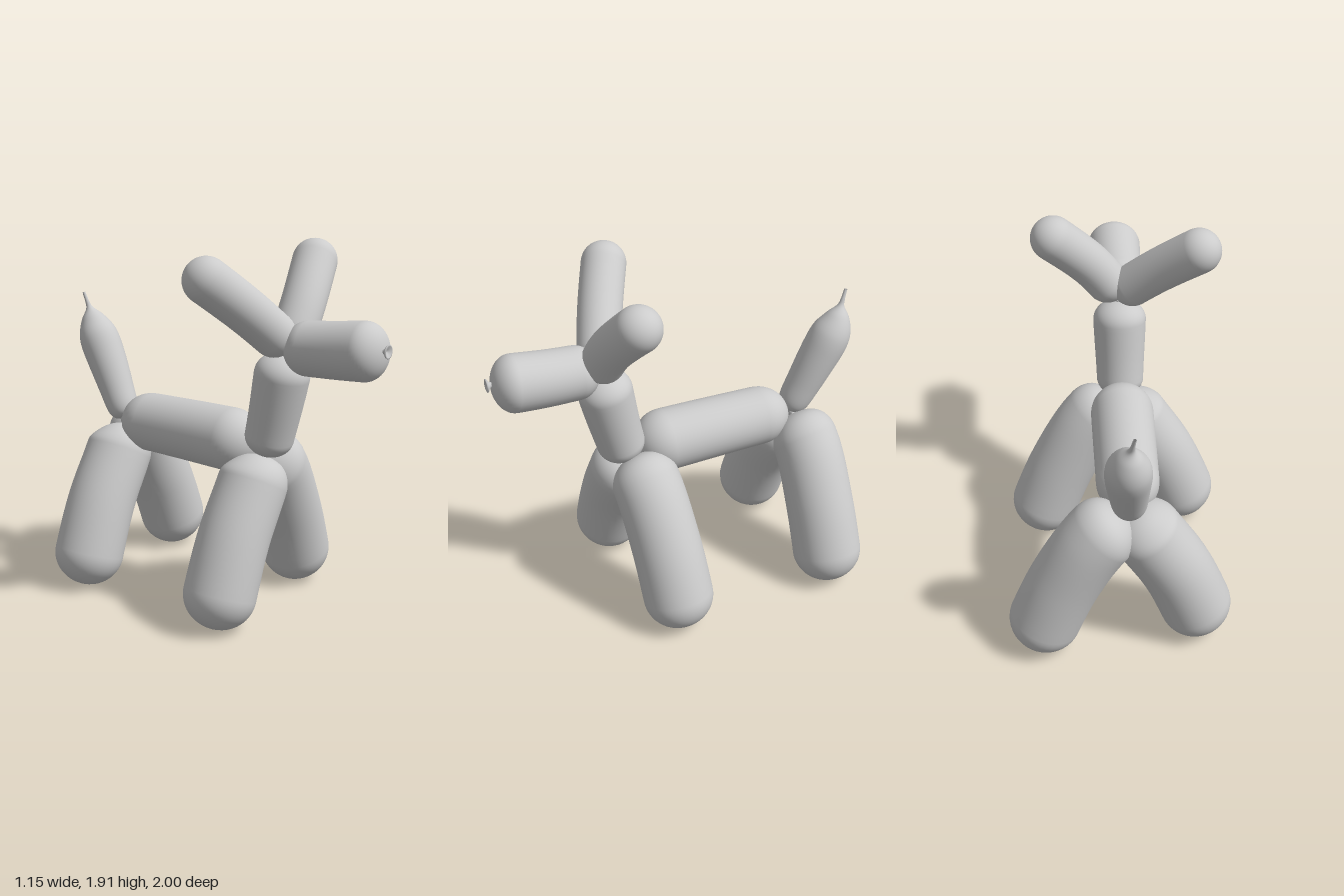
import * as THREE from 'three';
import { mergeVertices } from 'three/addons/utils/BufferGeometryUtils.js';

const material = new THREE.MeshStandardMaterial({ color: 0xcccccc, side: THREE.DoubleSide });
const UP = new THREE.Vector3(0, 1, 0);
const V = (p) => new THREE.Vector3(...p);

// Lathe a profile of (radius, distance) and bend it along a smooth path
function sweep(name, path, profile) {
  const curve = new THREE.CatmullRomCurve3(path.map(V), false, 'centripetal');
  const length = curve.getLength();
  const lathe = new THREE.LatheGeometry(profile(length).map(([r, s]) => new THREE.Vector2(r, s)), 40);
  lathe.deleteAttribute('uv');
  lathe.deleteAttribute('normal');
  const pos = lathe.attributes.position;
  const q = new THREE.Quaternion();
  for (let i = 0; i < pos.count; i++) {
    const u = THREE.MathUtils.clamp(pos.getY(i) / length, 0, 1);
    q.setFromUnitVectors(UP, curve.getTangentAt(u));
    const v = new THREE.Vector3(pos.getX(i), 0, pos.getZ(i)).applyQuaternion(q).add(curve.getPointAt(u));
    pos.setXYZ(i, v.x, v.y, v.z);
  }
  const geometry = mergeVertices(lathe, 1e-5);
  geometry.computeVertexNormals();
  const mesh = new THREE.Mesh(geometry, material);
  mesh.name = name;
  return mesh;
}

// Inflated segment: round caps at both ends, radius rA blending to rB
function balloon(name, path, rA, rB, capA = 1, capB = 1) {
  return sweep(name, path, (length) => {
    const a = rA * capA, b = rB * capB, n = 14, points = [];
    const radius = (s) => THREE.MathUtils.lerp(rA, rB, THREE.MathUtils.smoothstep(s / length, 0, 1));
    for (let i = 0; i <= n; i++) {
      const t = (i / n) * Math.PI / 2, s = a * (1 - Math.cos(t));
      points.push([radius(s) * Math.sin(t), s]);
    }
    for (let i = 1; i < 12; i++) {
      const s = a + (length - a - b) * i / 12;
      points.push([radius(s), s]);
    }
    for (let i = n; i >= 0; i--) {
      const t = (i / n) * Math.PI / 2, s = length - b * (1 - Math.cos(t));
      points.push([radius(s) * Math.sin(t), s]);
    }
    return points;
  });
}

// Twisted knot between segments
function knot(name, center) {
  const group = new THREE.Group();
  group.name = name;
  for (let i = 0; i < 3; i++) {
    const ring = new THREE.Mesh(new THREE.TorusGeometry(0.025, 0.014, 8, 16), material);
    ring.rotation.set(i * 1.05, i * 0.7, 0);
    group.add(ring);
  }
  group.position.set(...center);
  return group;
}

export function createModel() {
  const model = new THREE.Group();

  // Body, neck and head
  model.add(
    balloon('body', [[-0.05, 0.89, 0.24], [-0.05, 0.89, -0.2], [-0.05, 0.885, -0.65]], 0.168, 0.158, 1, 1.1),
    balloon('neck', [[-0.05, 0.85, 0.30], [-0.05, 1.1, 0.36], [-0.05, 1.39, 0.42]], 0.125, 0.143, 0.8, 0.8),
    balloon('head', [[-0.05, 1.425, 0.43], [-0.04, 1.443, 0.7], [-0.04, 1.47, 0.975]], 0.135, 0.146, 0.9, 0.75),
  );

  // Ears
  model.add(
    balloon('leftEar', [[-0.05, 1.41, 0.43], [0.1, 1.61, 0.41], [0.37, 1.885, 0.32]], 0.112, 0.116),
    balloon('rightEar', [[-0.04, 1.42, 0.43], [-0.26, 1.625, 0.33], [-0.52, 1.85, 0.19]], 0.112, 0.116),
  );

  // Legs, leaning outward from the two hip knots
  const legs = [
    ['frontLeftLeg', 1, 0.26, 0.24, 0.18],
    ['frontRightLeg', -1, 0.27, 0.28, 0.28],
    ['rearLeftLeg', 1, -0.68, -0.705, -0.72],
    ['rearRightLeg', -1, -0.67, -0.655, -0.64],
  ];
  for (const [name, side, zTop, zMid, zFoot] of legs) {
    const cx = side > 0 ? 0 : -0.015;
    const path = [[0, 0.85, zTop], [0.1, 0.745, zMid], [0.275, 0.45, (zMid + zFoot) / 2], [0.445, 0.025, zFoot]]
      .map(([x, y, z], i) => [i ? side * x + cx : -0.05 + side * 0.02, y, z]);
    model.add(balloon(name, path, 0.18, 0.188, 0.85, 0.95));
  }

  // Tail: swelling upward, then tapering into a thin uninflated tip
  model.add(sweep('tail',
    [[-0.05, 0.88, -0.67], [-0.035, 1.14, -0.8], [-0.03, 1.36, -0.91], [-0.04, 1.48, -0.95], [-0.05, 1.555, -0.975]],
    (length) => new THREE.SplineCurve([
      [0, 0], [0.055, 0.012], [0.084, 0.06], [0.096, 0.18], [0.108, 0.35], [0.11, 0.46],
      [0.096, 0.53], [0.06, 0.6], [0.02, 0.65], [0.011, 0.69], [0.008, length],
    ].map(([r, s]) => new THREE.Vector2(r, s))).getPoints(60).map((p) => [Math.max(p.x, 0), p.y])));

  // Tied nozzle on the snout
  const nozzle = new THREE.Mesh(new THREE.LatheGeometry([
    [0.02, -0.02], [0.014, 0.005], [0.018, 0.014], [0.032, 0.022], [0.034, 0.028], [0.028, 0.03], [0.012, 0.02], [0, 0.016],
  ].map(([r, y]) => new THREE.Vector2(r, y)), 20), material);
  nozzle.name = 'nozzle';
  nozzle.rotation.x = Math.PI / 2;
  nozzle.position.set(-0.045, 1.475, 0.97);
  model.add(nozzle);

  // Knots
  model.add(
    knot('headKnot', [-0.05, 1.4, 0.425]),
    knot('shoulderKnot', [-0.05, 0.87, 0.27]),
    knot('hipKnot', [-0.05, 0.88, -0.67]),
  );
  return model;
}
